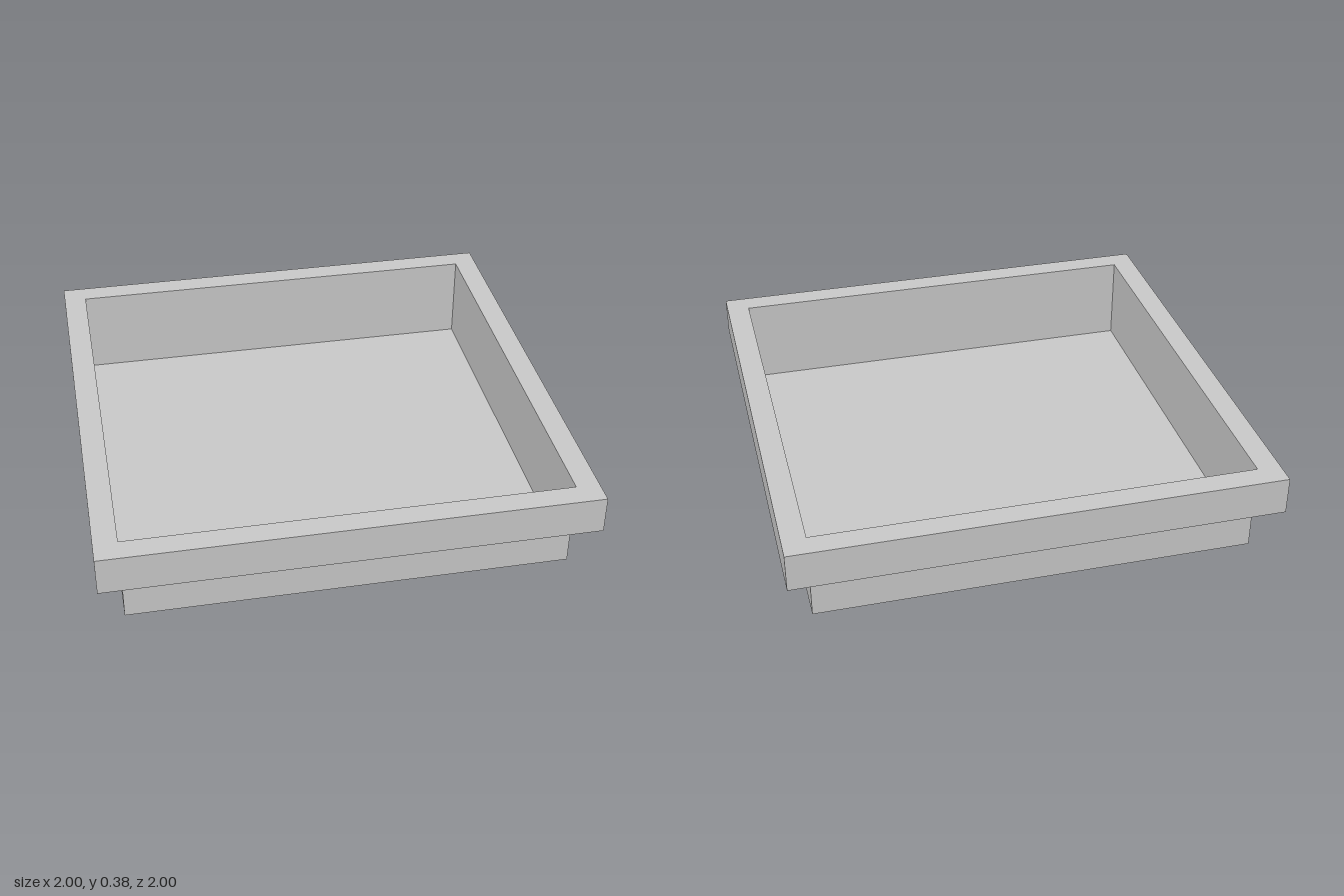
import * as THREE from 'three';

const INNER = 0.903, OUTER = 1, TOP = 0.375, LIP = 0.215;

const material = new THREE.MeshStandardMaterial({
  color: 0xcccccc, flatShading: true, side: THREE.DoubleSide,
});

// Sweeps a profile of [half width, height] points around a square
function squareSweep(name, profile) {
  const points = profile.map(([half, y]) => new THREE.Vector2(half * Math.SQRT2, y));
  const mesh = new THREE.Mesh(new THREE.LatheGeometry(points, 4, Math.PI / 4), material);
  mesh.name = name;
  return mesh;
}

export function createModel() {
  const tray = new THREE.Group();
  tray.name = 'tray';

  // Flat bottom sheet
  const floor = new THREE.Mesh(
    new THREE.PlaneGeometry(2 * INNER, 2 * INNER).rotateX(-Math.PI / 2), material);
  floor.name = 'floor';

  // Thin upright sides
  const walls = squareSweep('walls', [[INNER, 0], [INNER, TOP]]);

  // Overhanging rim, folded down and open underneath
  const rim = squareSweep('rim', [[OUTER, LIP], [OUTER, TOP], [INNER, TOP]]);

  tray.add(floor, walls, rim);
  return tray;
}
